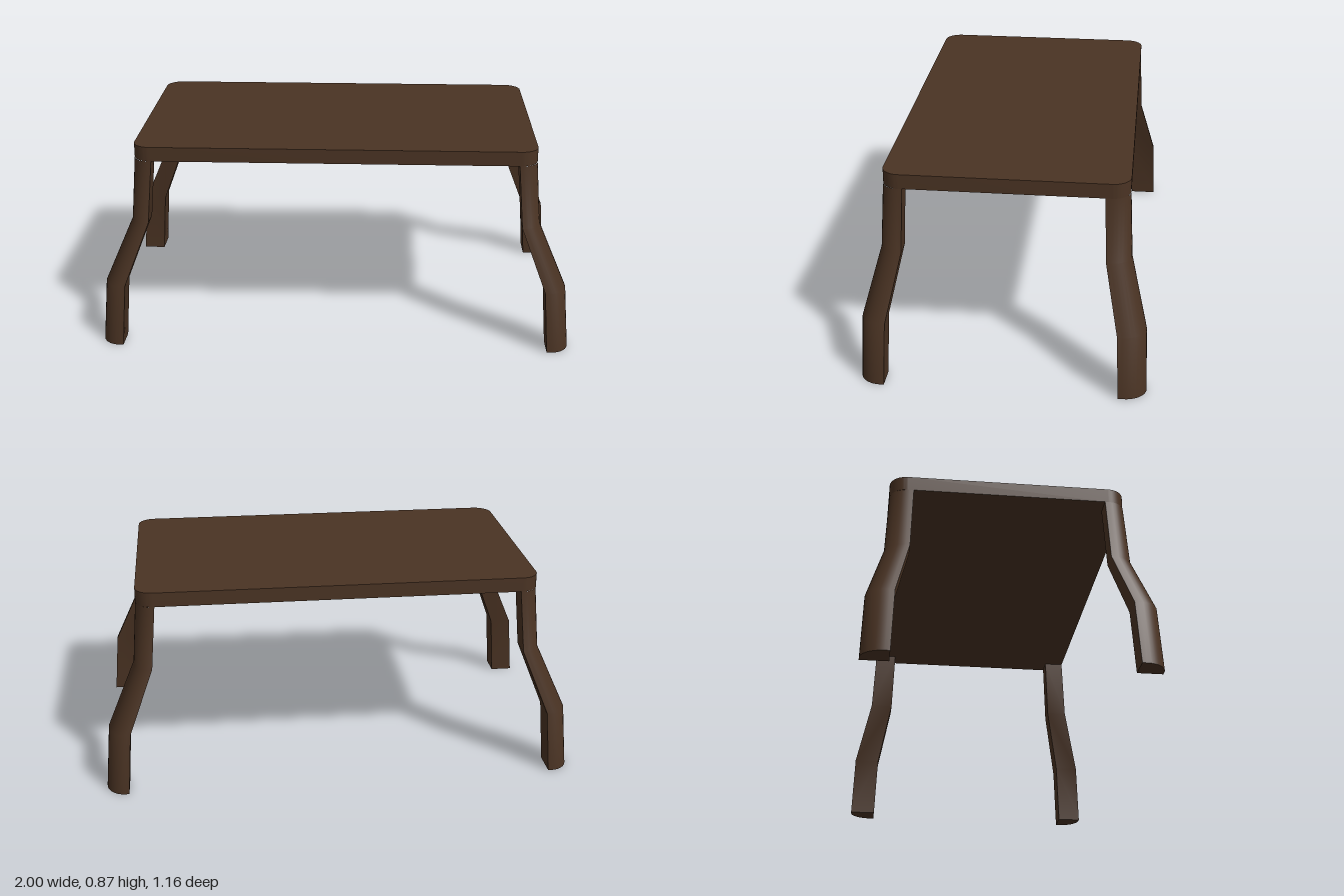
import * as THREE from 'three';
import { toCreasedNormals } from 'three/addons/utils/BufferGeometryUtils.js';

const TOP = 0.866, UNDER = 0.805;

// Leg outline by height: y, inner x, outer x, inner z, outer z
const LEVELS = [
  [0, 0.905, 1.0, 0.478, 0.581],
  [0.27, 0.885, 0.977, 0.467, 0.57],
  [0.535, 0.782, 0.86, 0.411, 0.501],
  [UNDER, 0.759, 0.838, 0.401, 0.487],
];

// Square section with its outer corner rounded
function section([y, xi, xo, zi, zo], sx, sz) {
  if (sz < 0) zi -= 0.011;
  const rx = (xo - xi) * 0.82, rz = (zo - zi) * 0.82, steps = 8;
  const pts = [[xi, zi], [xo, zi]];
  for (let i = 0; i <= steps; i++) {
    const a = (i / steps) * Math.PI / 2;
    pts.push([xo - rx + rx * Math.cos(a), zo - rz + rz * Math.sin(a)]);
  }
  pts.push([xi, zo]);
  return pts.map(([x, z]) => [sx * x, y, sz * z]);
}

function legGeometry(sx, sz) {
  const rings = LEVELS.map((level) => section(level, sx, sz));
  const n = rings[0].length, out = [];
  const tri = (a, b, c) => (sx * sz > 0 ? out.push(...a, ...b, ...c) : out.push(...a, ...c, ...b));
  for (let k = 0; k < rings.length - 1; k++) {
    for (let i = 0; i < n; i++) {
      const j = (i + 1) % n, lo = rings[k], hi = rings[k + 1];
      tri(lo[i], hi[j], lo[j]);
      tri(lo[i], hi[i], hi[j]);
    }
  }
  // sole of the foot
  for (let i = 1; i < n - 1; i++) tri(rings[0][0], rings[0][i], rings[0][i + 1]);
  const g = new THREE.BufferGeometry();
  g.setAttribute('position', new THREE.Float32BufferAttribute(out, 3));
  return toCreasedNormals(g, 0.6);
}

// Flat slab with rounded corners
function topGeometry(w, d, r) {
  const s = new THREE.Shape();
  s.moveTo(w, d - r);
  s.absarc(w - r, d - r, r, 0, Math.PI / 2);
  s.absarc(-w + r, d - r, r, Math.PI / 2, Math.PI);
  s.absarc(-w + r, -d + r, r, Math.PI, Math.PI * 1.5);
  s.absarc(w - r, -d + r, r, Math.PI * 1.5, Math.PI * 2);
  const g = new THREE.ExtrudeGeometry(s, { depth: TOP - UNDER, bevelEnabled: false, curveSegments: 8 });
  g.rotateX(-Math.PI / 2);
  g.translate(0, UNDER, 0);
  return toCreasedNormals(g, 0.6);
}

export function createModel() {
  const model = new THREE.Group();
  model.name = 'table';
  const wood = new THREE.MeshStandardMaterial({ color: 0x4a3323 });
  wood.name = 'dark wood';

  const add = (name, geometry) => {
    const mesh = new THREE.Mesh(geometry, wood);
    mesh.name = name;
    model.add(mesh);
  };

  add('tabletop', topGeometry(0.838, 0.487, 0.072));

  // four splayed legs
  for (const sz of [1, -1]) {
    for (const sx of [1, -1]) {
      add((sz > 0 ? 'front' : 'back') + (sx > 0 ? 'Left' : 'Right') + 'Leg', legGeometry(sx, sz));
    }
  }
  return model;
}
